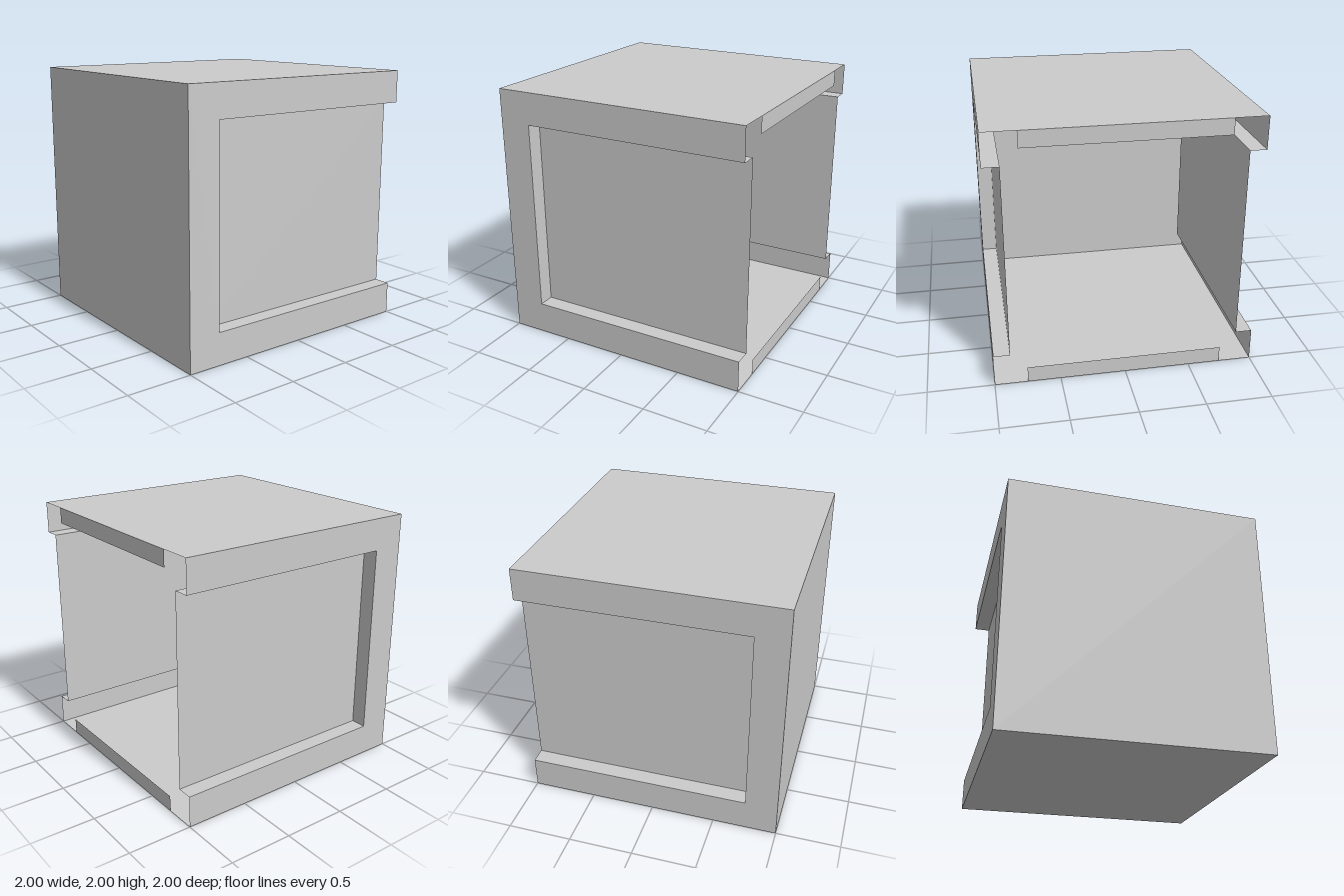
import * as THREE from 'three';

const material = new THREE.MeshStandardMaterial({ color: 0xcccccc, side: THREE.DoubleSide, flatShading: true });

const SILL = 0.25;    // frame width around each side recess
const DEPTH = 0.125;  // recess depth and lip height
const Q = Math.PI / 2;

function sheet(parent, name, w, h, [x, y, z], rx = 0, ry = 0) {
  const mesh = new THREE.Mesh(new THREE.PlaneGeometry(w, h), material);
  mesh.name = name;
  mesh.position.set(x, y, z);
  mesh.rotation.set(rx, ry, 0);
  parent.add(mesh);
}

// One side wall: a C-shaped frame open to the back, with a recessed panel
function sideWall(s) {
  const wall = new THREE.Group();
  wall.name = s > 0 ? 'leftWall' : 'rightWall';

  const outline = [
    [-1, 0], [1, 0], [1, SILL], [SILL - 1, SILL],
    [SILL - 1, 2 - SILL], [1, 2 - SILL], [1, 2], [-1, 2],
  ].map(([u, v]) => new THREE.Vector2(u, v));
  const frame = new THREE.Mesh(new THREE.ShapeGeometry(new THREE.Shape(outline)), material);
  frame.name = 'sideFrame';
  frame.rotation.y = Q;
  frame.position.x = s;
  wall.add(frame);

  const length = 2 - SILL, height = 2 - 2 * SILL;
  const midX = s * (1 - DEPTH / 2), midZ = -SILL / 2;
  sheet(wall, 'recessedPanel', length, height, [s * (1 - DEPTH), 1, midZ], 0, s * Q);
  sheet(wall, 'recessFrontEdge', DEPTH, height, [midX, 1, 1 - SILL], 0, Math.PI);
  sheet(wall, 'recessBottomLedge', DEPTH, length, [midX, SILL, midZ], -Q);
  sheet(wall, 'recessTopLedge', DEPTH, length, [midX, 2 - SILL, midZ], Q);
  return wall;
}

export function createModel() {
  const model = new THREE.Group();
  model.name = 'openBackedCase';

  // Closed outer sheets
  sheet(model, 'frontWall', 2, 2, [0, 1, 1]);
  sheet(model, 'roof', 2, 2, [0, 2, 0], -Q);
  sheet(model, 'floor', 2, 2, [0, 0, 0], Q);

  // Mirrored side walls
  for (const s of [-1, 1]) model.add(sideWall(s));

  // Short lips along the open back
  const lipWidth = 2 - 2 * SILL;
  sheet(model, 'upperBackLip', lipWidth, DEPTH, [0, 2 - DEPTH / 2, -1], 0, Math.PI);
  sheet(model, 'lowerBackLip', lipWidth, DEPTH, [0, DEPTH / 2, -1], 0, Math.PI);

  return model;
}
